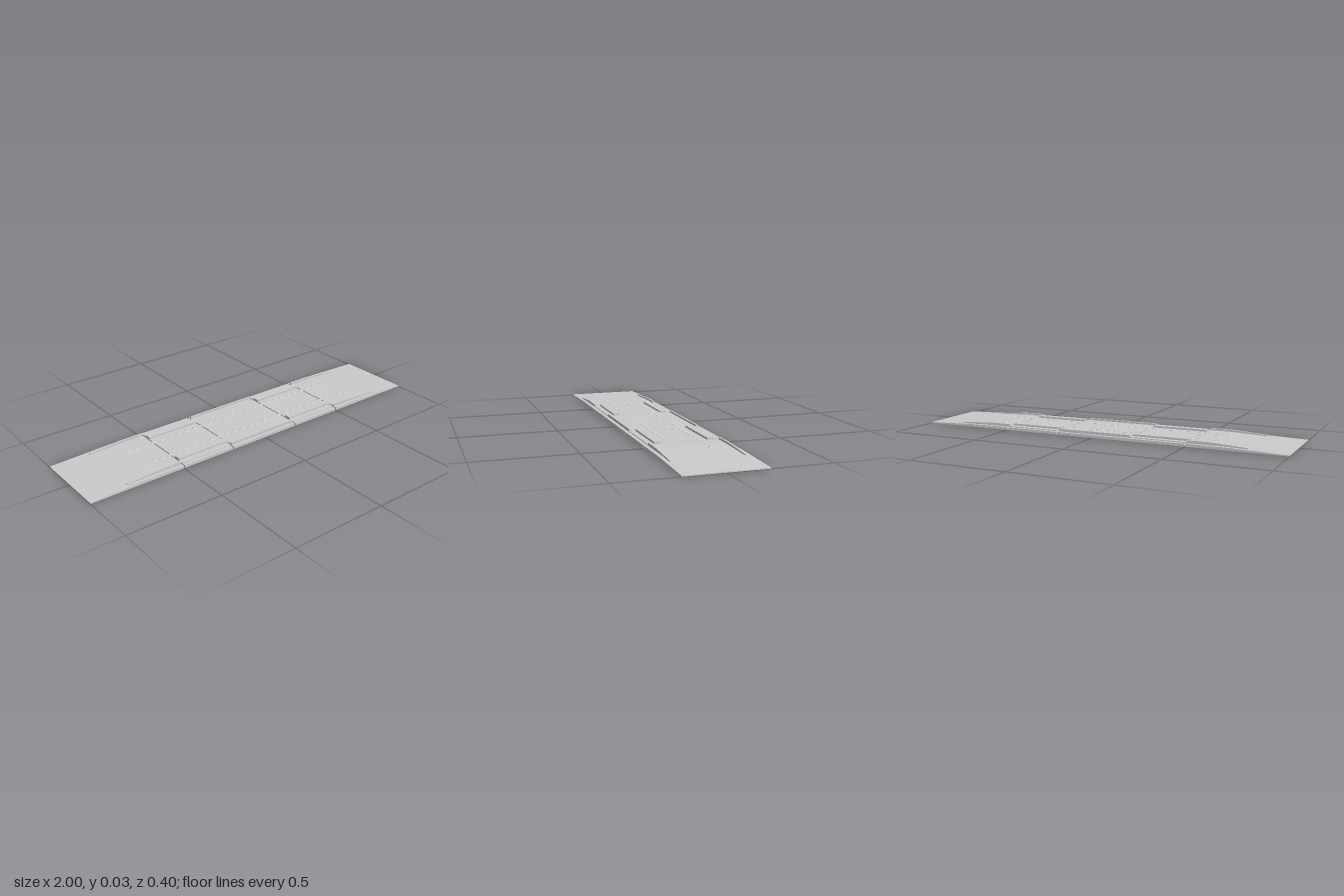
import * as THREE from 'three';

const material = new THREE.MeshStandardMaterial({ color: 0xcccccc, flatShading: true });

function add(group, name, geometry) {
  const mesh = new THREE.Mesh(geometry, material);
  mesh.name = name;
  group.add(mesh);
  return mesh;
}

// Side profile in x-y, extruded from z0 to z1
function slab(group, name, points, z0, z1) {
  const shape = new THREE.Shape(points.map(([x, y]) => new THREE.Vector2(x, y)));
  const geometry = new THREE.ExtrudeGeometry(shape, { depth: z1 - z0, bevelEnabled: false });
  return add(group, name, geometry.translate(0, 0, z0));
}

function box(group, name, x0, x1, y0, y1, z0, z1) {
  const geometry = new THREE.BoxGeometry(x1 - x0, y1 - y0, z1 - z0);
  return add(group, name, geometry.translate((x0 + x1) / 2, (y0 + y1) / 2, (z0 + z1) / 2));
}

// Strip of the given z range, repeated on both long sides
function bothSides(z0, z1, build) {
  build(z0, z1);
  build(-z1, -z0);
}

const DECK = 0.018, LEDGE = 0.014, TOP = 0.028, LIP = 0.005;

function endRamp(side) {
  const ramp = new THREE.Group();
  ramp.name = side > 0 ? 'leftRamp' : 'rightRamp';
  const mirror = (points) => points.map(([x, y]) => [x * side, y]);

  // Sloping deck with a shallow pocket under its inner end
  slab(ramp, 'rampDeck', mirror([
    [1, 0], [1, LIP], [0.6, DECK], [0.5, DECK], [0.5, 0.006], [0.6, 0.006], [0.6, 0],
  ]), -0.17, 0.17);
  bothSides(0.17, 0.18, (a, b) => slab(ramp, 'rampSill', mirror([
    [1, 0], [1, LIP], [0.6, DECK], [0.5, DECK], [0.5, 0],
  ]), a, b));
  // Lower outer ledge
  bothSides(0.18, 0.2, (a, b) => slab(ramp, 'rampLedge', mirror([
    [1, 0], [1, LIP], [0.7, LEDGE], [0.5, LEDGE], [0.5, 0],
  ]), a, b));
  // Curb tapering into the slope
  bothSides(0.171, 0.181, (a, b) => slab(ramp, 'rampCurb', mirror([
    [0.8, 0.009], [0.8, 0.017], [0.62, TOP], [0.5, TOP], [0.5, 0.009],
  ]), a, b));
  return ramp;
}

function centreSection() {
  const centre = new THREE.Group();
  centre.name = 'centreSection';
  box(centre, 'centreDeck', -0.2, 0.2, 0.006, DECK, -0.17, 0.17);
  bothSides(0.17, 0.18, (a, b) => box(centre, 'centreSill', -0.2, 0.2, 0, DECK, a, b));
  bothSides(0.18, 0.2, (a, b) => box(centre, 'centreLedge', -0.2, 0.2, 0, LEDGE, a, b));
  bothSides(0.171, 0.181, (a, b) => box(centre, 'centreCurb', -0.2, 0.2, 0.009, TOP, a, b));
  return centre;
}

function linkSection(side) {
  const link = new THREE.Group();
  link.name = side > 0 ? 'leftLink' : 'rightLink';
  const [x0, x1] = side > 0 ? [0.206, 0.494] : [-0.494, -0.206];
  box(link, 'linkDeck', x0, x1, 0, DECK, -0.18, 0.18);
  bothSides(0.18, 0.2, (a, b) => box(link, 'linkLedge', x0, x1, 0, LEDGE, a, b));
  // Raised guide blocks inside the edges
  bothSides(0.115, 0.15, (a, b) => box(link, 'guideBlock', x0, x1, DECK, TOP, a, b));
  return link;
}

export function createModel() {
  const model = new THREE.Group();
  model.name = 'rampBridge';
  for (const side of [1, -1]) model.add(endRamp(side), linkSection(side));
  model.add(centreSection());

  // Two rows of low faceted studs, each row on a thin strip
  const studs = new THREE.Group();
  studs.name = 'studRows';
  const stud = new THREE.CylinderGeometry(0.004, 0.013, 0.004, 8);
  for (const z of [-0.076, 0.076]) {
    box(studs, 'studStrip', -0.62, 0.62, 0.016, DECK + 0.001, z - 0.002, z + 0.002);
    for (let i = -13; i <= 13; i++) {
      add(studs, 'stud', stud).position.set(i * 0.049, DECK + 0.002, z);
    }
  }
  model.add(studs);
  return model;
}
